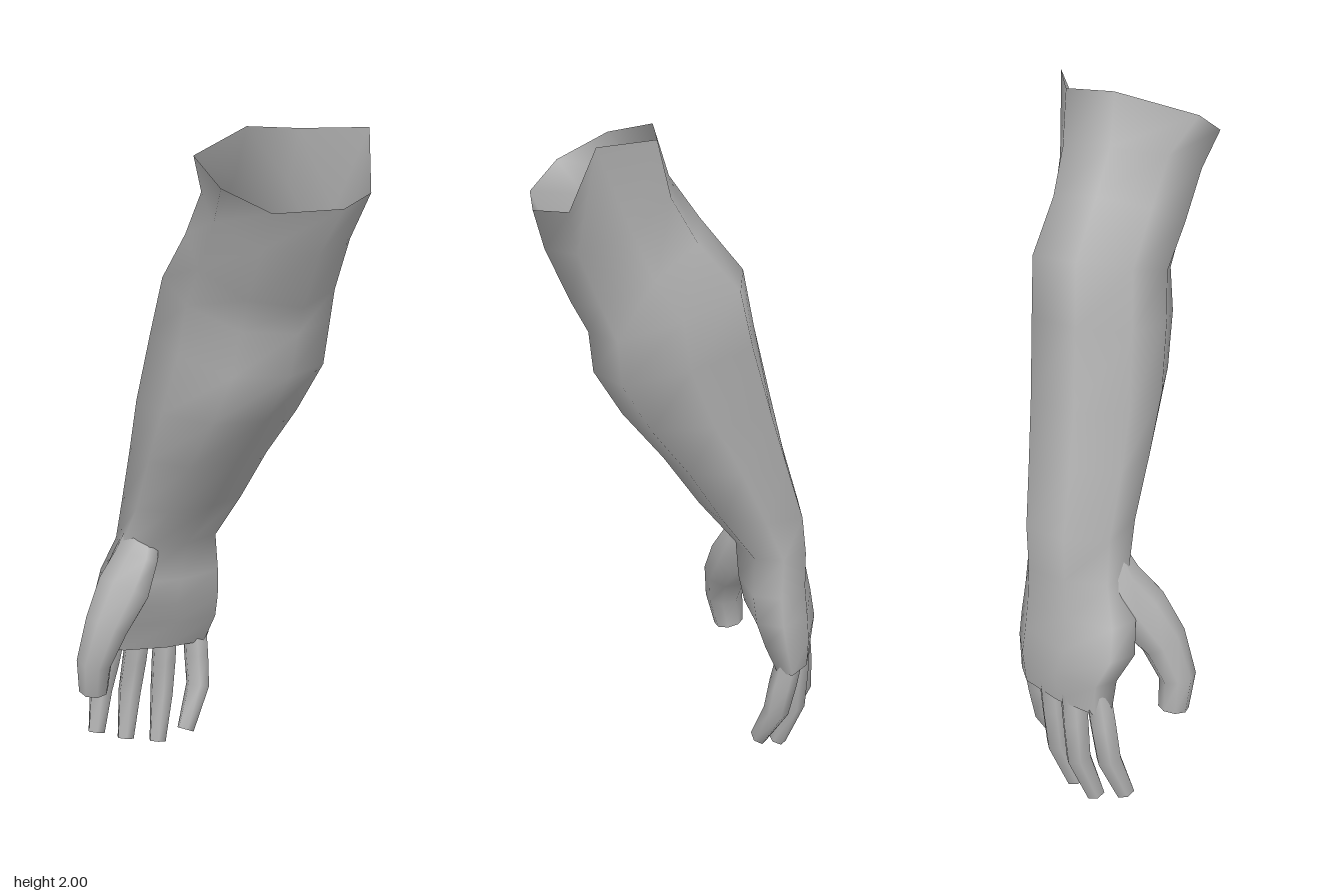
import * as THREE from 'three';

const V = (x, y, z) => new THREE.Vector3(x, y, z);

// Skin a list of equal-length rings (top to bottom) and close the lower end
function loft(rings) {
  const n = rings[0].length;
  const pts = rings.flat();
  const index = [];
  for (let i = 0; i < rings.length - 1; i++) {
    for (let j = 0; j < n; j++) {
      const a = i * n + j, b = i * n + (j + 1) % n;
      index.push(a, a + n, b, b, a + n, b + n);
    }
  }
  // separate cap vertices keep the blunt end crisp
  const s = pts.length;
  pts.push(...rings[rings.length - 1]);
  for (let j = 1; j < n - 1; j++) index.push(s, s + j + 1, s + j);
  const geo = new THREE.BufferGeometry().setFromPoints(pts);
  geo.setIndex(index);
  geo.computeVertexNormals();
  return geo;
}

// Eight-sided section from its back edge, inner edge, z range,
// skew of x along z and fullness of the diagonal corners
function section([xl, yl, xr, yr, z0, z1, skew, full]) {
  const ring = [];
  for (let j = 0; j < 8; j++) {
    const a = j * Math.PI / 4, k = j % 2 ? full : 1;
    const c = -Math.cos(a) * k, s = Math.sin(a) * k;
    const dz = s * (z1 - z0) / 2;
    ring.push(V(
      (xl + xr) / 2 + c * (xr - xl) / 2 + skew * dz,
      (yl + yr) / 2 + c * (yr - yl) / 2,
      (z0 + z1) / 2 + dz));
  }
  return ring;
}

// Tapered digit along a path of [x, y, z, radius across x, radius across z]
function digit(path, sides) {
  const p = path.map(q => V(q[0], q[1], q[2]));
  const rings = path.map((q, i) => {
    const t = p[Math.min(i + 1, p.length - 1)].clone().sub(p[Math.max(i - 1, 0)]).normalize();
    const u = V(-1, 0, 0).addScaledVector(t, t.x).normalize();
    const v = u.clone().cross(t);
    return Array.from({ length: sides }, (_, j) => {
      const a = (j + 0.5) / sides * Math.PI * 2;
      return p[i].clone().addScaledVector(u, Math.cos(a) * q[3]).addScaledVector(v, Math.sin(a) * q[4]);
    });
  });
  return loft(rings);
}

export function createModel() {
  const group = new THREE.Group();
  group.name = 'arm';
  const skin = new THREE.MeshStandardMaterial({ color: 0xb2b2b2, side: THREE.DoubleSide });
  skin.name = 'skin grey';
  const add = (name, geo) => {
    const mesh = new THREE.Mesh(geo, skin);
    mesh.name = name;
    group.add(mesh);
  };

  // Uneven open rim above the elbow
  const rim = [
    V(0.105, 2.0, -0.06), V(0.16, 1.94, 0.165), V(0.30, 1.87, 0.187), V(0.40, 1.81, 0.10),
    V(0.445, 1.81, -0.105), V(0.39, 1.835, -0.255), V(0.33, 2.0, -0.30), V(0.145, 1.99, -0.215)
  ];

  // Elbow, forearm, wrist and palm in one skin
  const rows = [
    [0.06, 1.86, 0.405, 1.69, -0.27, 0.155, 0, 1.03],
    [-0.025, 1.74, 0.34, 1.54, -0.27, 0.135, -0.07, 1.03],
    [-0.145, 1.59, 0.30, 1.46, -0.28, 0.112, -0.1, 1.09],
    [-0.185, 1.42, 0.285, 1.34, -0.265, 0.12, -0.1, 1.12],
    [-0.245, 1.20, 0.20, 1.20, -0.245, 0.13, -0.07, 1.12],
    [-0.29, 1.03, 0.08, 1.05, -0.23, 0.12, -0.05, 1.12],
    [-0.345, 0.85, -0.03, 0.89, -0.215, 0.105, -0.06, 1.12],
    [-0.36, 0.73, -0.15, 0.74, -0.205, 0.11, -0.1, 1.1],
    [-0.385, 0.62, -0.165, 0.62, -0.222, 0.15, -0.25, 1.07],
    [-0.405, 0.53, -0.185, 0.53, -0.235, 0.16, -0.32, 1.05],
    [-0.41, 0.45, -0.22, 0.45, -0.24, 0.115, -0.4, 1.05],
    [-0.4, 0.355, -0.27, 0.35, -0.225, 0.105, -0.4, 1.06]
  ];
  add('forearmAndPalm', loft([rim, ...rows.map(section)]));

  // Four fingers: knuckle, middle joint and tip positions
  const fingers = {
    indexFinger: [[-0.39, 0.40, 0.06], [-0.413, 0.2, 0.10], [-0.385, 0.07, 0.14]],
    middleFinger: [[-0.37, 0.40, -0.025], [-0.395, 0.17, 0.0], [-0.365, 0.025, 0.04]],
    ringFinger: [[-0.335, 0.40, -0.105], [-0.335, 0.16, -0.085], [-0.305, 0.012, -0.045]],
    littleFinger: [[-0.28, 0.40, -0.18], [-0.245, 0.2, -0.165], [-0.22, 0.07, -0.095]]
  };
  for (const [name, [a, b, c]] of Object.entries(fingers)) {
    const mid = a.map((q, i) => (q + b[i]) / 2);
    add(name, digit([
      [...a, 0.04, 0.04], [...mid, 0.043, 0.04], [...b, 0.04, 0.038], [...c, 0.027, 0.03]
    ], 6));
  }

  // Thumb, rising gradually out of the wrist and heel of the hand
  add('thumb', digit([
    [-0.25, 0.80, 0.03, 0.05, 0.05],
    [-0.245, 0.70, 0.075, 0.085, 0.06],
    [-0.235, 0.61, 0.13, 0.092, 0.082],
    [-0.225, 0.51, 0.203, 0.078, 0.066],
    [-0.23, 0.40, 0.248, 0.06, 0.053],
    [-0.245, 0.30, 0.242, 0.047, 0.045]
  ], 8));

  return group;
}
